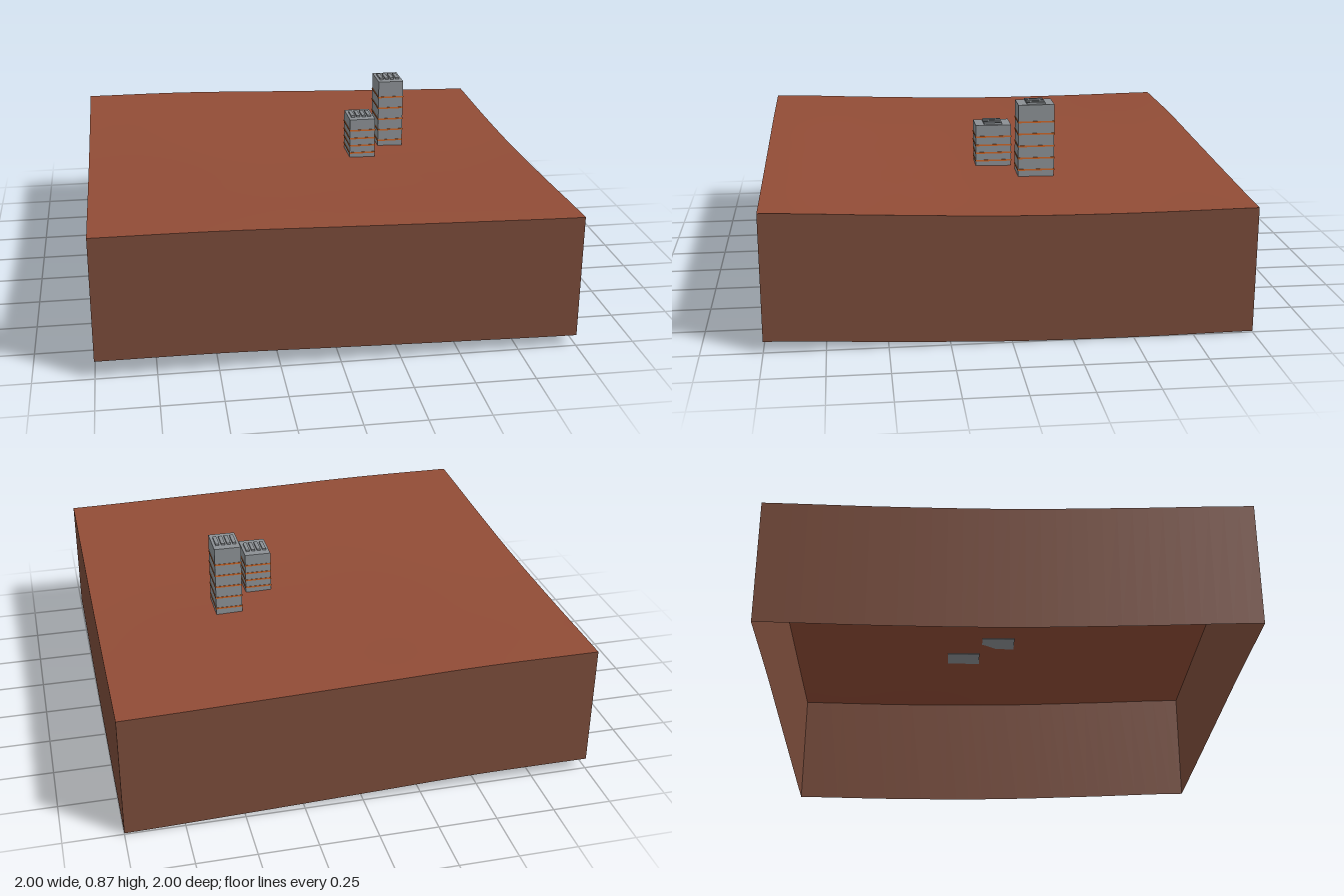
import * as THREE from 'three';

const soil = new THREE.MeshStandardMaterial({ color: 0x914c36, side: THREE.DoubleSide });
soil.name = 'red soil';
const earth = new THREE.MeshStandardMaterial({ color: 0x784a39, side: THREE.DoubleSide });
earth.name = 'brown earth';
const concrete = new THREE.MeshStandardMaterial({ color: 0x8b9094 });
concrete.name = 'grey concrete';
const orange = new THREE.MeshStandardMaterial({ color: 0xcc6526 });
orange.name = 'orange band';

const SKIRT = 0.533; // depth of the ground block
const SEG = 32;

// Evenly spaced samples over -1..1, smoothly interpolated
const profile = (values) => {
  const curve = new THREE.SplineCurve(values.map((v, i) => new THREE.Vector2(i, v)));
  return (u) => curve.getPoint(THREE.MathUtils.clamp((u + 1) / 2, 0, 1)).y;
};
const leftEdge = profile([0.583, 0.576, 0.577, 0.593, 0.613]); // x = -1, back to front
const rightEdge = profile([0.54, 0.535, 0.54, 0.56, 0.583]);   // x = +1, back to front
const blend = profile([0, 0.02, 0.37, 0.72, 1]);               // from x = -1 to x = +1
const height = (x, z) => THREE.MathUtils.lerp(leftEdge(z), rightEdge(z), blend(x));

function addMesh(parent, name, geometry, material, x = 0, y = 0, z = 0) {
  const mesh = new THREE.Mesh(geometry, material);
  mesh.name = name;
  mesh.position.set(x, y, z);
  parent.add(mesh);
  return mesh;
}

// Gently rolling ground surface
function groundGeometry() {
  const geo = new THREE.PlaneGeometry(2, 2, SEG, SEG).rotateX(-Math.PI / 2);
  const p = geo.attributes.position;
  for (let i = 0; i < p.count; i++) p.setY(i, height(p.getX(i), p.getZ(i)));
  geo.computeVertexNormals();
  return geo;
}

// Vertical wall whose top and bottom both follow the ground
function wallGeometry(angle) {
  const geo = new THREE.PlaneGeometry(2, 1, SEG, 1).translate(0, 0, 1).rotateY(angle);
  const p = geo.attributes.position;
  for (let i = 0; i < p.count; i++) {
    const top = height(p.getX(i), p.getZ(i));
    p.setY(i, p.getY(i) > 0 ? top : top - SKIRT);
  }
  return geo;
}

// Tower block with floor bands on all sides and ribs on the roof
function tower({ name, x, z, base, top, bands }) {
  const W = 0.116, D = 0.156;
  const group = new THREE.Group();
  group.name = name;
  group.position.set(x, 0, z);
  addMesh(group, 'body', new THREE.BoxGeometry(W, top - base, D), concrete, 0, (top + base) / 2, 0);
  for (const y of bands) {
    addMesh(group, 'floorBand', new THREE.BoxGeometry(W + 0.004, 0.007, D + 0.004), orange, 0, y, 0);
  }
  for (let i = 0; i < 4; i++) {
    addMesh(group, 'roofRib', new THREE.BoxGeometry(0.016, 0.008, 0.08), concrete,
      (i - 1.5) * 0.025, top + 0.004, 0);
  }
  return group;
}

export function createModel() {
  const model = new THREE.Group();
  model.name = 'groundWithTowers';

  addMesh(model, 'ground', groundGeometry(), soil);
  ['frontWall', 'leftWall', 'backWall', 'rightWall'].forEach((name, i) =>
    addMesh(model, name, wallGeometry((i * Math.PI) / 2), earth));

  model.add(tower({
    name: 'shortTower', x: 0.25, z: 0, base: 0.555, top: 0.74,
    bands: [0.58, 0.615, 0.65, 0.688],
  }));
  model.add(tower({
    name: 'tallTower', x: 0.415, z: -0.167, base: 0.547, top: 0.865,
    bands: [0.578, 0.63, 0.683, 0.737, 0.79],
  }));
  return model;
}
